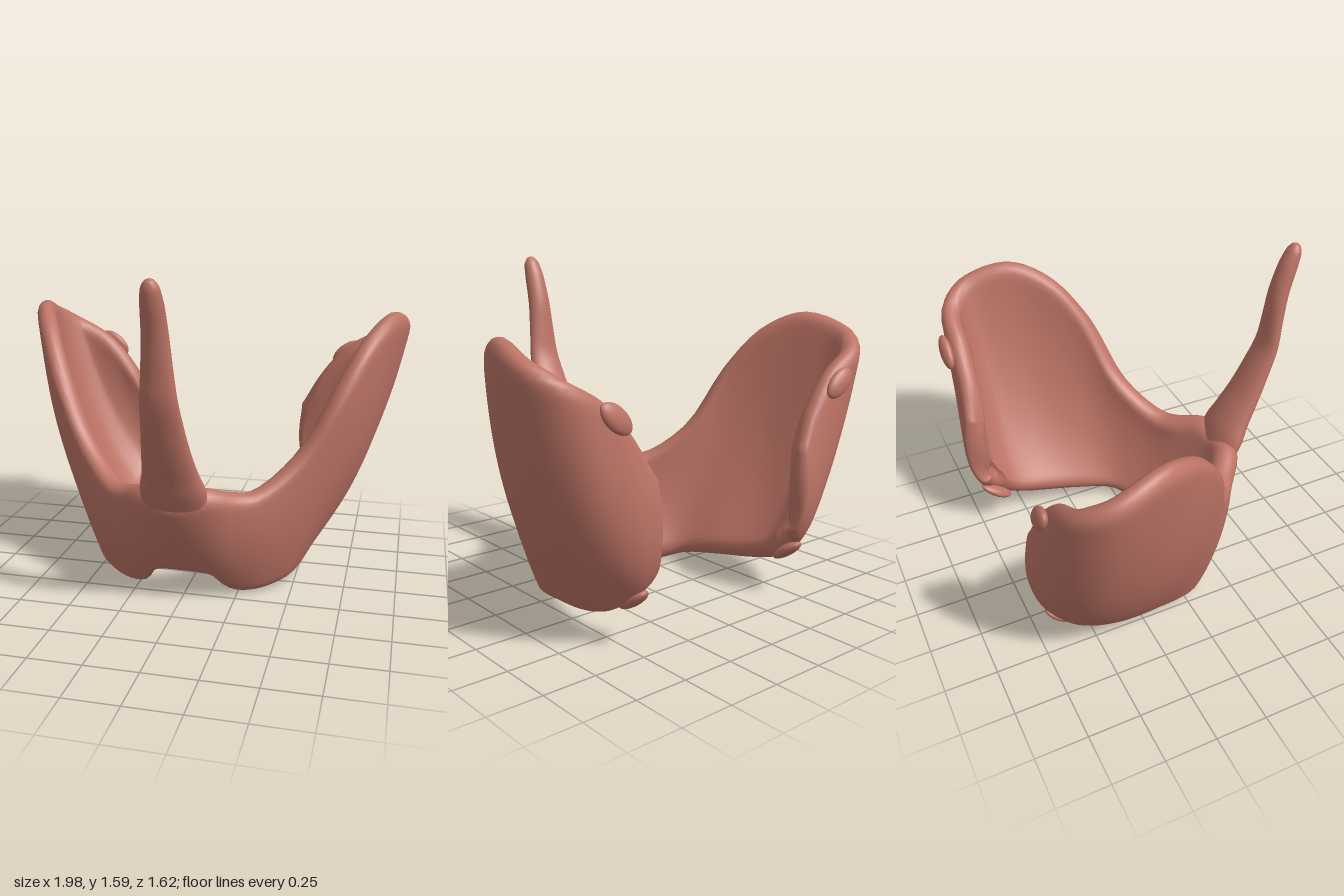
import * as THREE from 'three';

const V = (x, y, z) => new THREE.Vector3(x, y, z);

// Cross-sections of one half: lower rim, middle, upper rim, from the centre to the inner back edge
const sections = [
  [[0, .15, .22], [0, .36, .34], [0, .58, .44]],
  [[.14, .14, .2], [.13, .34, .32], [.13, .605, .405]],
  [[.22, .03, .12], [.23, .29, .265], [.24, .565, .305]],
  [[.31, .01, .085], [.35, .3, .195], [.33, .555, .24]],
  [[.42, .04, 0], [.5, .37, .07], [.52, .71, .1]],
  [[.465, .08, -.2], [.655, .53, -.1], [.69, 1.02, -.01]],
  [[.485, .115, -.38], [.745, .6, -.28], [.81, 1.23, -.16]],
  [[.485, .15, -.5], [.77, .62, -.43], [.91, 1.32, -.35]],
  [[.48, .19, -.58], [.76, .62, -.57], [.95, 1.265, -.58]],
  [[.475, .24, -.63], [.68, .6, -.67], [.87, 1.2, -.685]],
  [[.47, .29, -.66], [.57, .55, -.72], [.67, 1.08, -.7]],
  [[.465, .32, -.675], [.49, .53, -.74], [.53, .91, -.7]],
  [[.455, .36, -.69], [.42, .54, -.745], [.435, .73, -.725]],
];

// Curved shell with rounded rims running from one back edge, round the front, to the other
function shellGeometry() {
  const full = [
    ...sections.slice(1).reverse().map(s => s.map(([x, y, z]) => V(-x, y, z))),
    ...sections.map(s => s.map(p => V(...p))),
  ];
  const curves = [0, 1, 2].map(k => new THREE.CatmullRomCurve3(full.map(s => s[k])));
  const surface = (t, v) => {
    const [b, m, p] = curves.map(c => c.getPoint(t));
    return b.multiplyScalar((1 - v) * (1 - 2 * v))
      .addScaledVector(m, 4 * v * (1 - v))
      .addScaledVector(p, v * (2 * v - 1));
  };
  const cols = 140, ring = 56, e = 0.004, pos = [], idx = [];
  for (let i = 0; i <= cols; i++) {
    const t = (1 - Math.cos(Math.PI * i / cols)) / 2;
    const len = surface(t, 0).distanceTo(surface(t, 1));
    const thick = 0.05 + 0.02 * Math.exp(-Math.pow((t - 0.5) / 0.12, 2));
    for (let j = 0; j < ring; j++) {
      const a = 2 * Math.PI * j / ring, v = (1 - Math.cos(a)) / 2;
      const r = thick + 0.01 * (1 - v);
      const t0 = Math.max(0, t - e), t1 = Math.min(1, t + e);
      const v0 = Math.max(0, v - e), v1 = Math.min(1, v + e);
      const n = surface(t1, v).sub(surface(t0, v))
        .cross(surface(t, v1).sub(surface(t, v0))).normalize();
      const d = Math.min(r, Math.min(v, 1 - v) * len, Math.min(t, 1 - t) * 2.8);
      const h = Math.sqrt(Math.max(0, r * r - (r - d) * (r - d)));
      const side = j === 0 || j === ring / 2 ? 0 : j < ring / 2 ? 1 : -1;
      pos.push(...surface(t, v).addScaledVector(n, side * h).toArray());
    }
  }
  stitch(idx, cols, ring);
  return build(pos, idx);
}

function stitch(idx, rows, ring) {
  for (let i = 0; i < rows; i++) for (let j = 0; j < ring; j++) {
    const k = (j + 1) % ring;
    const a = i * ring + j, b = a + ring, c = (i + 1) * ring + k, d = i * ring + k;
    idx.push(a, b, c, a, c, d);
  }
}

function build(pos, idx) {
  const g = new THREE.BufferGeometry();
  g.setAttribute('position', new THREE.Float32BufferAttribute(pos, 3));
  g.setIndex(idx);
  g.computeVertexNormals();
  return g;
}

// Tapering upright stalk: y, z, half width, half depth
function stalkGeometry() {
  const rows = [
    [.28, .28, .1, .03], [.4, .355, .13, .05], [.5, .405, .155, .063], [.6, .45, .155, .07],
    [.69, .495, .132, .066], [.8, .555, .113, .058], [.93, .615, .097, .05], [1.07, .67, .083, .042],
    [1.2, .69, .07, .042], [1.35, .712, .058, .046], [1.48, .75, .05, .045], [1.55, .776, .04, .035],
    [1.58, .785, .022, .02], [1.59, .788, .001, .001],
  ];
  const path = new THREE.CatmullRomCurve3(rows.map(r => V(0, r[0], r[1])));
  const size = new THREE.CatmullRomCurve3(rows.map(r => V(r[2], r[3], 0)));
  const steps = 70, ring = 28, pos = [], idx = [];
  for (let i = 0; i <= steps; i++) {
    const p = path.getPoint(i / steps), s = size.getPoint(i / steps), t = path.getTangent(i / steps);
    for (let j = 0; j < ring; j++) {
      const a = 2 * Math.PI * j / ring;
      const w = Math.cos(a) * s.x, d = Math.sin(a) * s.y;
      pos.push(w, p.y - t.z * d, p.z + t.y * d);
    }
  }
  stitch(idx, steps, ring);
  return build(pos, idx);
}

export function createModel() {
  const group = new THREE.Group();
  const tissue = new THREE.MeshStandardMaterial({ color: 0xbd7466 });
  tissue.name = 'tissue red';
  const add = (name, geometry) => {
    const mesh = new THREE.Mesh(geometry, tissue);
    mesh.name = name;
    group.add(mesh);
    return mesh;
  };

  add('lobesAndBridge', shellGeometry());
  add('frontStalk', stalkGeometry());

  // Small flattened pellets on the back: centre, long axis, facing direction
  const pellets = [
    ['upperPellet', V(.665, 1.03, -.778), V(.75, .62, 0), V(0, .25, -1)],
    ['lowerPellet', V(.48, .222, -.66), V(0, .58, -.8), V(0, -.8, -.58)],
  ];
  for (const side of [1, -1]) for (const [name, centre, axis, facing] of pellets) {
    const mesh = add((side > 0 ? 'left ' : 'right ') + name, new THREE.SphereGeometry(1, 24, 16));
    const mirror = V(side, 1, 1);
    const x = axis.clone().multiply(mirror).normalize();
    const y = facing.clone().multiply(mirror).cross(x).normalize();
    const z = x.clone().cross(y);
    mesh.quaternion.setFromRotationMatrix(new THREE.Matrix4().makeBasis(x, y, z));
    mesh.scale.set(.092, .05, .028);
    mesh.position.copy(centre).multiply(mirror);
  }
  return group;
}
